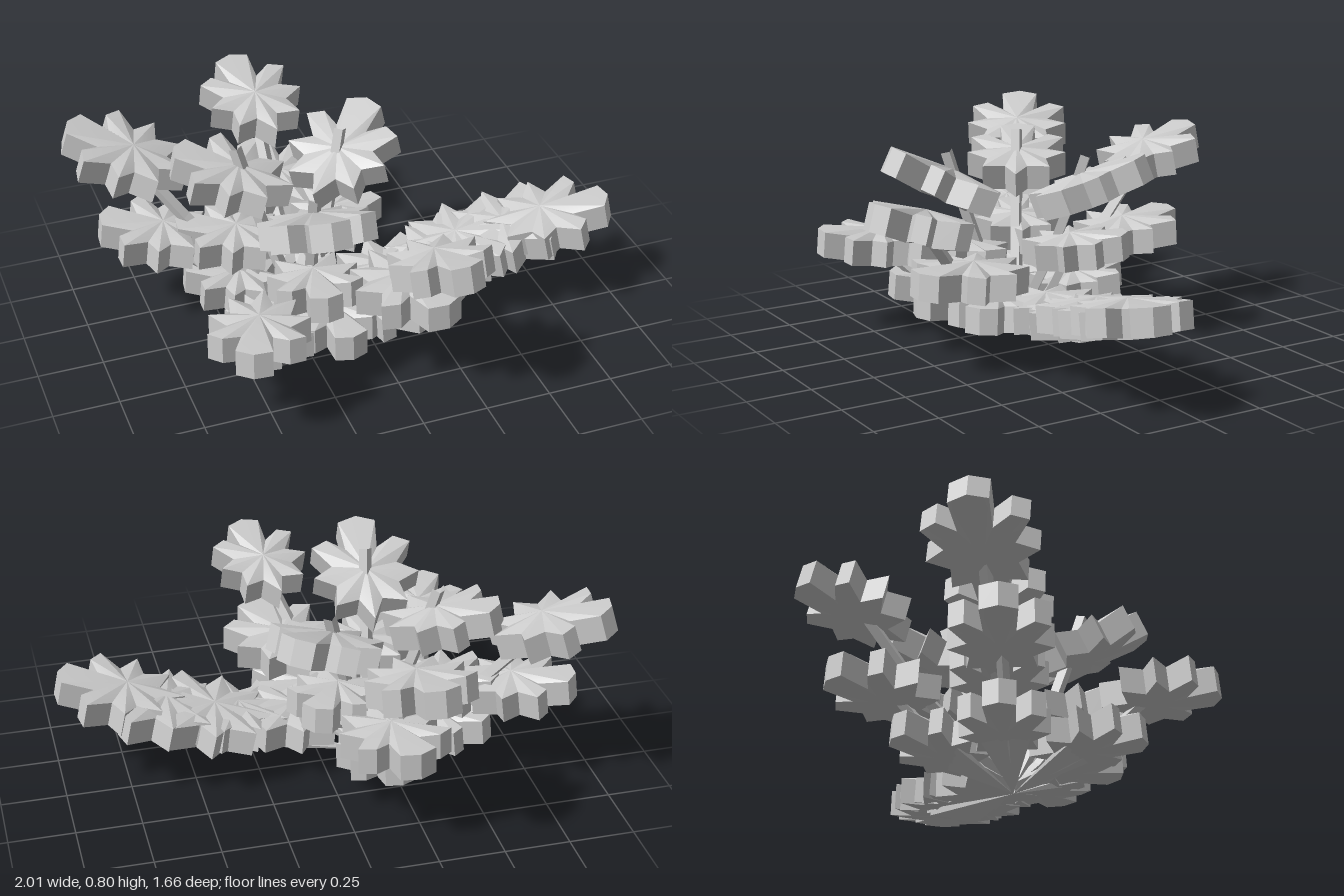
import * as THREE from 'three';
import { toCreasedNormals } from 'three/addons/utils/BufferGeometryUtils.js';

const V = (x, y, z) => new THREE.Vector3(x, y, z);
const ROOT = V(-0.2, 0, 0.03);
const material = new THREE.MeshStandardMaterial({ color: 0xcccccc });

// Half outline of a lobed leaf: degrees from the tip, radius
const HALF = [[0, 0.26], [17, 0.245], [28, 0.13], [40, 0.2], [57, 0.225], [73, 0.13],
  [95, 0.2], [114, 0.13], [138, 0.2], [160, 0.13], [180, 0.22]];

// Thick leaf: outline ring with a gently peaked top and a parallel underside
function leafGeometry(thickness) {
  const outline = [...HALF, ...HALF.slice(1, -1).reverse().map(([a, r]) => [360 - a, r])];
  const n = outline.length;
  const ring = (y) => outline.map(([a, r]) => {
    const t = THREE.MathUtils.degToRad(a);
    return V(r * Math.sin(t), y - (r < 0.15 ? 0.012 : 0), r * Math.cos(t));
  });
  const top = ring(thickness / 2), bottom = ring(-thickness / 2);
  const topMid = V(0, thickness / 2 + 0.015, 0), bottomMid = V(0, -thickness / 2 - 0.01, 0);
  const points = [];
  for (let i = 0; i < n; i++) {
    const j = (i + 1) % n;
    points.push(topMid, top[i], top[j], bottomMid, bottom[j], bottom[i]);
    points.push(bottom[i], bottom[j], top[j], bottom[i], top[j], top[i]);
  }
  return toCreasedNormals(new THREE.BufferGeometry().setFromPoints(points), 0.5);
}

// Leaves as [centre, tip]; the tip sets heading, pitch and size
const TIERS = {
  upperLeaf: [
    [[-0.2, 0.65, -0.58], [-0.23, 0.71, -0.82]],
    [[-0.77, 0.67, -0.32], [-0.98, 0.75, -0.46]],
    [[-0.42, 0.63, -0.11], [-0.63, 0.69, -0.24]],
    [[0.01, 0.6, -0.16], [0.19, 0.7, -0.33]],
    [[-0.25, 0.62, 0.3], [-0.27, 0.74, 0.54]],
    [[0.1, 0.57, 0.59], [0.14, 0.64, 0.81]],
  ],
  middleLeaf: [
    [[-0.15, 0.36, -0.44], [-0.19, 0.38, -0.69]],
    [[-0.69, 0.37, -0.22], [-0.91, 0.4, -0.32]],
    [[-0.43, 0.36, -0.12], [-0.64, 0.38, -0.22]],
    [[-0.52, 0.35, 0.46], [-0.61, 0.37, 0.68]],
    [[-0.24, 0.34, 0.24], [-0.26, 0.37, 0.46]],
    [[0.07, 0.34, 0.37], [0.14, 0.36, 0.63]],
    [[-0.03, 0.36, -0.12], [0.1, 0.38, -0.3]],
  ],
  lowerLeaf: [
    [[-0.17, 0.17, -0.22], [-0.2, 0.19, -0.44]],
    [[-0.43, 0.17, -0.1], [-0.62, 0.19, -0.2]],
    [[-0.4, 0.17, 0.22], [-0.5, 0.19, 0.43]],
    [[-0.18, 0.18, 0.25], [-0.17, 0.19, 0.48]],
    [[0.02, 0.18, 0.23], [0.17, 0.2, 0.4]],
  ],
  branchLeaf: [
    [[0.1, 0.18, 0.07], [0.36, 0.2, 0.1]],
    [[0.32, 0.21, 0.08], [0.58, 0.25, 0.04]],
    [[0.42, 0.24, 0.05], [0.7, 0.3, 0.12]],
    [[0.6, 0.28, 0.08], [0.88, 0.34, 0.12]],
    [[0.74, 0.33, 0.13], [0.99, 0.385, 0.2]],
  ],
};

export function createModel() {
  const model = new THREE.Group();
  model.name = 'leafyPlant';
  const leaf = leafGeometry(0.1);

  const addLeaf = (name, centre, tip) => {
    const dir = tip.clone().sub(centre);
    const size = dir.length() / 0.26;
    const z = dir.normalize();
    const x = V(0, 1, 0).cross(z).normalize();
    const y = z.clone().cross(x);
    const mesh = new THREE.Mesh(leaf, material);
    mesh.quaternion.setFromRotationMatrix(new THREE.Matrix4().makeBasis(x, y, z));
    mesh.position.copy(centre);
    mesh.scale.set(size, 1, size);
    mesh.name = name;
    model.add(mesh);
  };

  // Four-sided bent stalk from the root to a leaf
  const addStem = (end, radius) => {
    const bend = ROOT.clone().lerp(end, 0.55);
    bend.y -= 0.04;
    const path = new THREE.CatmullRomCurve3([ROOT.clone().setY(0.03), bend, end]);
    const geometry = new THREE.TubeGeometry(path, 6, radius, 4).toNonIndexed();
    geometry.computeVertexNormals();
    const stem = new THREE.Mesh(geometry, material);
    stem.name = 'stem';
    model.add(stem);
  };

  // Flat wedge that widens from the root to the underside of a low leaf
  const addWedge = (centre) => {
    const out = centre.clone().setY(centre.y - 0.05);
    const side = V(0, 1, 0).cross(out.clone().sub(ROOT)).setLength(0.1);
    const a = out.clone().add(side), b = out.clone().sub(side);
    const up = V(0, 0.03, 0);
    const c = a.clone().add(up), d = b.clone().add(up);
    const geometry = new THREE.BufferGeometry().setFromPoints(
      [ROOT, b, a, ROOT, c, d, ROOT, a, c, ROOT, d, b, a, b, d, a, d, c]);
    geometry.computeVertexNormals();
    const wedge = new THREE.Mesh(geometry, material.clone());
    wedge.material.side = THREE.DoubleSide;
    wedge.name = 'stemWedge';
    model.add(wedge);
  };

  for (const [name, leaves] of Object.entries(TIERS)) {
    for (const [c, t] of leaves) {
      const centre = V(...c), tip = V(...t);
      addLeaf(name, centre, tip);
      if (name === 'upperLeaf') {
        // Stalks poke a little through the inner leaves
        const inner = Math.hypot(c[0] + 0.2, c[2]) < 0.4;
        addStem(inner ? centre.clone().add(V(0, 0.13, 0)) : centre, 0.025);
      }
      if (name === 'middleLeaf') addStem(centre, 0.022);
      if (name === 'lowerLeaf') addWedge(centre);
    }
  }
  addWedge(V(0.5, 0.22, 0.07));
  return model;
}
